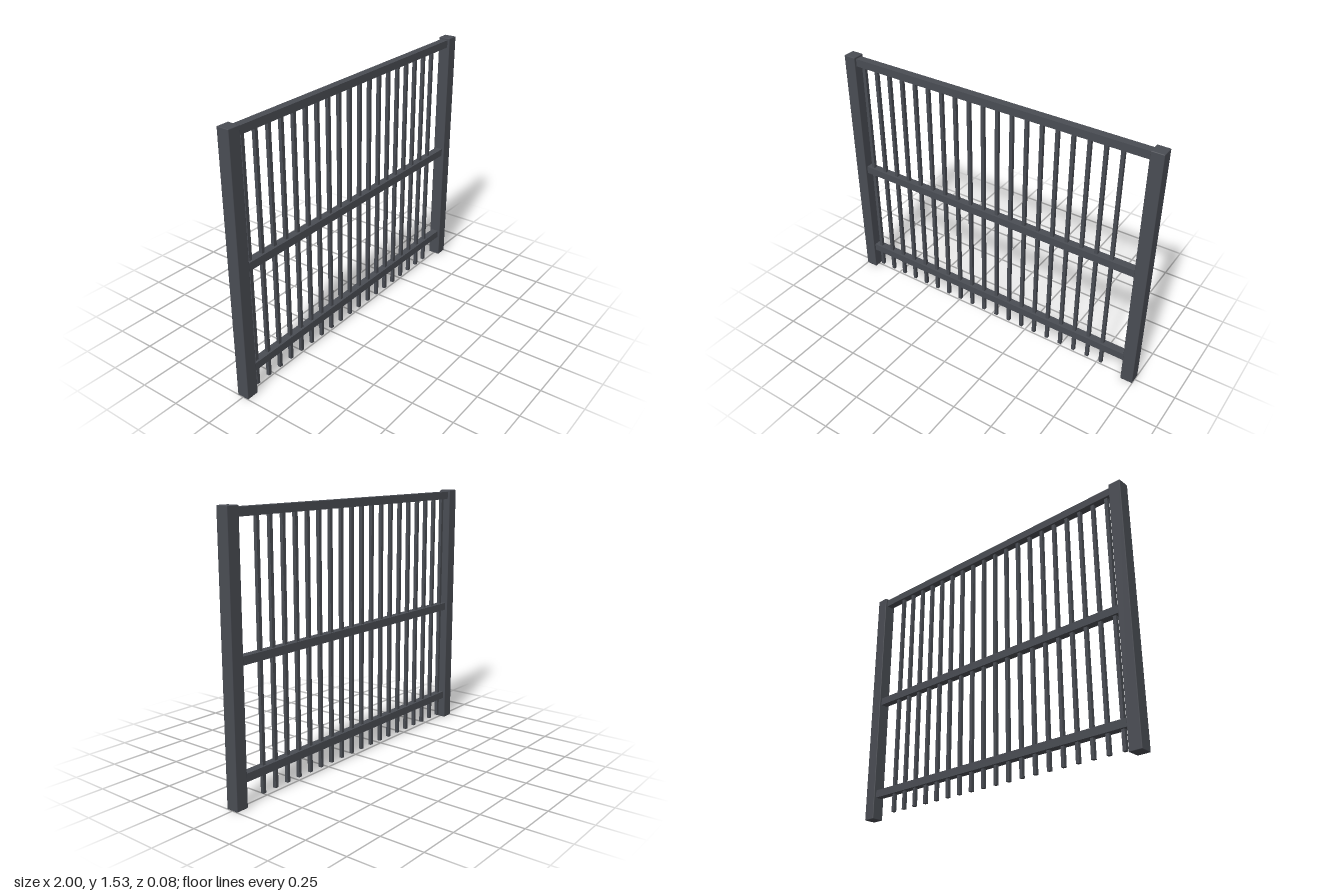
import * as THREE from 'three';
import { RoundedBoxGeometry } from 'three/addons/geometries/RoundedBoxGeometry.js';

export function createModel() {
  const model = new THREE.Group();
  model.name = 'fencePanel';
  const metal = new THREE.MeshStandardMaterial({ color: 0x4a4d54 });

  const add = (name, geometry, x, y) => {
    const mesh = new THREE.Mesh(geometry, metal);
    mesh.name = name;
    mesh.position.set(x, y, 0);
    model.add(mesh);
  };

  // Square end posts with slightly softened edges
  const postWidth = 0.075, postHeight = 1.535;
  const postGeometry = new RoundedBoxGeometry(postWidth, postHeight, postWidth, 1, 0.004);
  for (const side of [-1, 1]) {
    add(side > 0 ? 'leftPost' : 'rightPost', postGeometry, side * (1 - postWidth / 2), postHeight / 2);
  }

  // Horizontal rails running between the posts
  const railGeometry = new THREE.BoxGeometry(1.86, 0.046, 0.046);
  const rails = { bottomRail: 0.156, middleRail: 0.771, topRail: 1.501 };
  for (const [name, y] of Object.entries(rails)) add(name, railGeometry, 0, y);

  // Evenly spaced square bars, starting close to the right post
  const barBottom = 0.022, barTop = 1.495, barCount = 19;
  const barGeometry = new THREE.BoxGeometry(0.02, barTop - barBottom, 0.02);
  for (let i = 0; i < barCount; i++) {
    add(`bar${i + 1}`, barGeometry, -0.885 + i * 0.0923, (barBottom + barTop) / 2);
  }

  return model;
}
